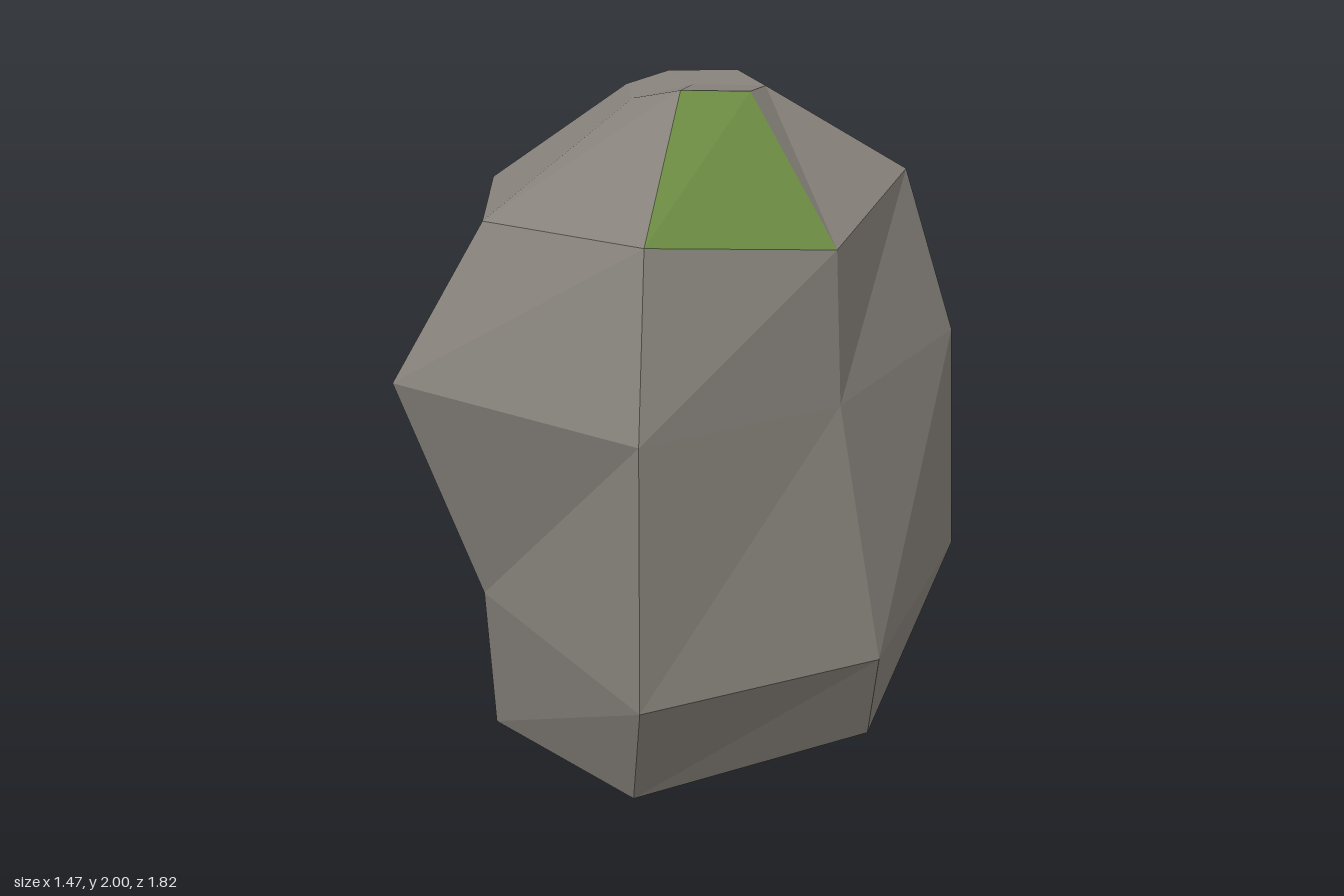
import * as THREE from 'three';

// Seven-sided rings from base to crown, each point [x, y, z],
// running counter-clockwise seen from above and starting at the front.
const RINGS = [
  [[0.12, 0.06, 0.68], [0.65, 0.13, 0.17], [0.53, 0.11, -0.36], [0.14, 0.1, -0.68], [-0.44, 0, -0.67], [-0.63, 0.14, -0.01], [-0.47, 0.05, 0.42]],
  [[0.25, 0.47, 0.91], [0.72, 0.45, 0.31], [0.73, 0.54, -0.39], [0.25, 0.65, -0.91], [-0.48, 0.49, -0.72], [-0.74, 0.48, 0.05], [-0.42, 0.55, 0.55]],
  [[0.24, 1.21, 0.88], [0.59, 1.2, 0.33], [0.71, 1.25, -0.34], [0.13, 1.15, -0.81], [-0.43, 1.15, -0.72], [-0.7, 1.18, 0.03], [-0.6, 1.22, 0.7]],
  [[0.19, 1.69, 0.73], [0.565, 1.63, 0.32], [0.57, 1.74, -0.27], [0.24, 1.68, -0.64], [-0.43, 1.76, -0.61], [-0.67, 1.66, -0.03], [-0.38, 1.67, 0.55]],
  [[0.05, 2, 0.18], [0.21, 1.99, 0.06], [0.19, 1.98, -0.11], [0.05, 2, -0.24], [-0.16, 1.99, -0.21], [-0.22, 1.97, -0.04], [-0.12, 1.96, 0.13]],
];
const SIDES = 7;

// One facet between two rings, split along its rising diagonal
function facet(level, i) {
  const j = (i + 1) % SIDES;
  const [lo, hi] = [RINGS[level], RINGS[level + 1]];
  return [lo[i], lo[j], hi[j], lo[i], hi[j], hi[i]];
}

// Fan of triangles closing a ring
function cap(ring, centre, up) {
  return ring.flatMap((p, i) => {
    const q = ring[(i + 1) % SIDES];
    return up ? [centre, p, q] : [centre, q, p];
  });
}

function makeMesh(name, points, material) {
  const geometry = new THREE.BufferGeometry();
  geometry.setAttribute('position', new THREE.Float32BufferAttribute(points.flat(), 3));
  geometry.computeVertexNormals(); // unshared corners give flat facets
  const mesh = new THREE.Mesh(geometry, material);
  mesh.name = name;
  return mesh;
}

export function createModel() {
  const stone = new THREE.MeshStandardMaterial({ color: 0x86817a, flatShading: true });
  stone.name = 'stone';
  const moss = new THREE.MeshStandardMaterial({ color: 0x6a8a40, flatShading: true });
  moss.name = 'moss';

  // Boulder sides and shoulder; the front-left shoulder facet is mossy
  const sides = [], shoulder = [];
  for (let level = 0; level < RINGS.length - 1; level++) {
    for (let i = 0; i < SIDES; i++) {
      if (level < 3) sides.push(...facet(level, i));
      else if (i > 0) shoulder.push(...facet(level, i));
    }
  }

  const group = new THREE.Group();
  group.name = 'boulder';
  group.add(
    makeMesh('boulderSides', sides, stone),
    makeMesh('boulderShoulder', shoulder, stone),
    makeMesh('mossPatch', facet(3, 0), moss),
    makeMesh('boulderCrown', cap(RINGS[4], [0, 1.985, -0.03], true), stone),
    makeMesh('boulderBase', cap(RINGS[0], [0.26, 0.05, 0.28], false), stone),
  );
  return group;
}
